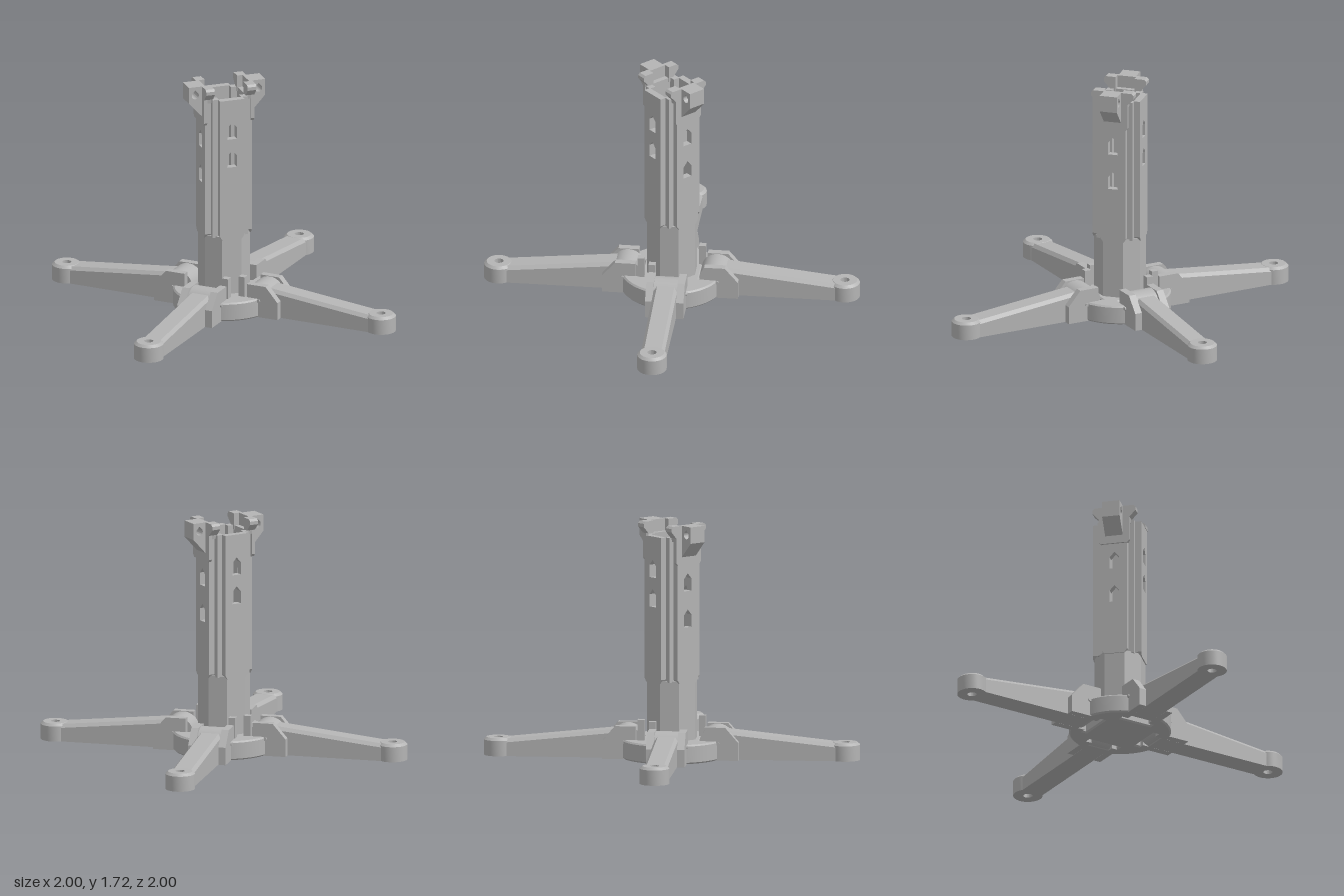
import * as THREE from 'three';
import { toCreasedNormals } from 'three/addons/utils/BufferGeometryUtils.js';

const grey = new THREE.MeshStandardMaterial({ color: 0xb4b4b4 });
grey.name = 'plain grey';

function add(parent, name, geometry, x = 0, y = 0, z = 0) {
  const mesh = new THREE.Mesh(toCreasedNormals(geometry, 0.5), grey);
  mesh.name = name;
  mesh.position.set(x, y, z);
  parent.add(mesh);
  return mesh;
}

const box = (w, h, d) => new THREE.BoxGeometry(w, h, d);
const vectors = (points) => points.map(([x, y]) => new THREE.Vector2(x, y));

// Extrudes an outline along z, from z0 to z1
function prism(points, z0, z1, holes = []) {
  const shape = new THREE.Shape(vectors(points));
  shape.holes.push(...holes);
  const g = new THREE.ExtrudeGeometry(shape, { depth: z1 - z0, bevelEnabled: false, curveSegments: 16 });
  return g.translate(0, 0, z0);
}

// Pointed window opening
function windowHole(y) {
  return new THREE.Path(vectors([[-0.035, y], [0.035, y], [0.035, y + 0.09], [0, y + 0.13], [-0.035, y + 0.09]]));
}

function makeColumn() {
  const column = new THREE.Group();
  column.name = 'column';

  // Lower octagonal shaft and the floor of the hollow upper part
  const a = 0.075, b = 0.172;
  const octagon = [[b, -a], [b, a], [a, b], [-a, b], [-b, a], [-b, -a], [-a, -b], [a, -b]];
  add(column, 'lowerShaft', prism(octagon, 0, 0.58).rotateX(-Math.PI / 2));
  add(column, 'shaftFloor', box(0.27, 0.04, 0.27), 0, 0.59, 0);

  // Four wall panels with pointed windows, and four corner posts
  const outline = [[-0.075, 0.56], [0.075, 0.56], [0.095, 0.59], [0.095, 1.63], [-0.095, 1.63], [-0.095, 0.59]];
  for (let i = 0; i < 4; i++) {
    const heights = i % 2 ? [0.97, 1.235] : [1.115, 1.33];
    const wall = add(column, 'wallPanel', prism(outline, 0.13, 0.18, heights.map(windowHole)));
    wall.rotation.y = i * Math.PI / 2;
    const sx = i % 2 ? 1 : -1, sz = i < 2 ? 1 : -1;
    add(column, 'cornerPost', box(0.05, 1.06, 0.05), sx * 0.11, 1.1, sz * 0.11);
  }
  return column;
}

function makeTopBracket() {
  const bracket = new THREE.Group();
  bracket.name = 'topBracket';

  // Side plate with flared top
  const plate = [[-0.1, 1.43], [0.1, 1.43], [0.115, 1.45], [0.115, 1.63], [0.16, 1.68],
    [0.16, 1.705], [0.145, 1.72], [-0.145, 1.72], [-0.16, 1.705], [-0.16, 1.68], [-0.115, 1.63], [-0.115, 1.45]];
  add(bracket, 'bracketPlate', prism(plate, 0.168, 0.192).rotateY(Math.PI / 2));

  // Hooks that grip the column top
  for (const s of [-1, 1]) {
    const hook = [[0.07, 1.6], [0.11, 1.6], [0.115, 1.63], [0.16, 1.68], [0.16, 1.705], [0.145, 1.72], [0.07, 1.72]];
    const points = s > 0 ? hook : hook.map(([x, y]) => [-x, y]);
    add(bracket, 'bracketHook', prism(points, 0.125, 0.17).rotateY(Math.PI / 2));
  }

  // Outer lug with teardrop hole
  const hole = new THREE.Path();
  hole.absarc(0.243, 1.655, 0.027, Math.PI * 0.75, Math.PI * 0.25, false);
  hole.lineTo(0.243, 1.695);
  hole.closePath();
  const lug = [[0.185, 1.49], [0.192, 1.49], [0.293, 1.6], [0.293, 1.72], [0.185, 1.72]];
  add(bracket, 'bracketLug', prism(lug, -0.065, 0.065, [hole]));
  return bracket;
}

// One leg with its hinge, pointing along +x
function makeLeg(pegSide) {
  const leg = new THREE.Group();
  leg.name = 'leg';

  // Tapering bar with bevelled upper edges
  const bar = prism([[-0.085, 0], [0.085, 0], [0.085, 0.1], [0.063, 0.125], [-0.063, 0.125], [-0.085, 0.1]], 0.34, 1.2);
  bar.rotateY(Math.PI / 2);
  const p = bar.attributes.position;
  for (let i = 0; i < p.count; i++) {
    if (p.getY(i) > 0.05) p.setY(i, p.getY(i) + 0.09 * (1.2 - p.getX(i)) / 0.86);
  }
  add(leg, 'legBar', bar);

  // Round foot with a bolt hole
  const foot = vectors([[0.033, 0], [0.107, 0], [0.107, 0.112], [0.088, 0.13], [0.033, 0.13], [0.033, 0]]);
  add(leg, 'foot', new THREE.LatheGeometry(foot, 40), 1.26, 0, 0);

  // Hinge: rounded knuckle, two cheeks, pin and upright peg
  add(leg, 'hingeKnuckle', new THREE.CylinderGeometry(0.118, 0.118, 0.18, 40).rotateX(Math.PI / 2), 0.325, 0.119, 0);
  const cheek = [[0.25, 0], [0.495, 0], [0.495, 0.13], [0.4, 0.24], [0.25, 0.24]];
  for (const s of [-1, 1]) add(leg, 'hingeCheek', prism(cheek, -0.027, 0.027), 0, 0, s * 0.113);
  add(leg, 'hingePin', new THREE.CylinderGeometry(0.013, 0.013, 0.3, 16).rotateX(Math.PI / 2), 0.345, 0.125, 0);
  add(leg, 'hingePeg', box(0.05, 0.21, 0.05), 0.21, 0.185, pegSide * 0.12);
  return leg;
}

function makeBase() {
  // Disc with a bevelled rim and a slot behind every hinge
  const disc = new THREE.Shape().absarc(0, 0, 0.358, 0, Math.PI * 2, false);
  for (let i = 0; i < 4; i++) {
    const angle = Math.PI / 4 + i * Math.PI / 2;
    const slot = vectors([[0.2, -0.135], [0.3, -0.135], [0.3, 0.135], [0.2, 0.135]]);
    disc.holes.push(new THREE.Path(slot.map((v) => v.rotateAround(new THREE.Vector2(), angle))));
  }
  return new THREE.ExtrudeGeometry(disc, {
    depth: 0.118, bevelThickness: 0.011, bevelSize: 0.011, bevelSegments: 1, curveSegments: 64,
  }).translate(0, 0, 0.011).rotateX(-Math.PI / 2);
}

export function createModel() {
  const model = new THREE.Group();
  model.name = 'towerStand';

  add(model, 'baseDisc', makeBase());
  model.add(makeColumn());

  // Brackets on both sides
  for (let i = 0; i < 2; i++) {
    const bracket = makeTopBracket();
    bracket.rotation.y = i * Math.PI;
    model.add(bracket);
  }

  // Four diagonal legs
  for (let i = 0; i < 4; i++) {
    const leg = makeLeg(i % 2 ? -1 : 1);
    leg.rotation.y = -Math.PI / 4 + i * Math.PI / 2;
    model.add(leg);
  }
  return model;
}
